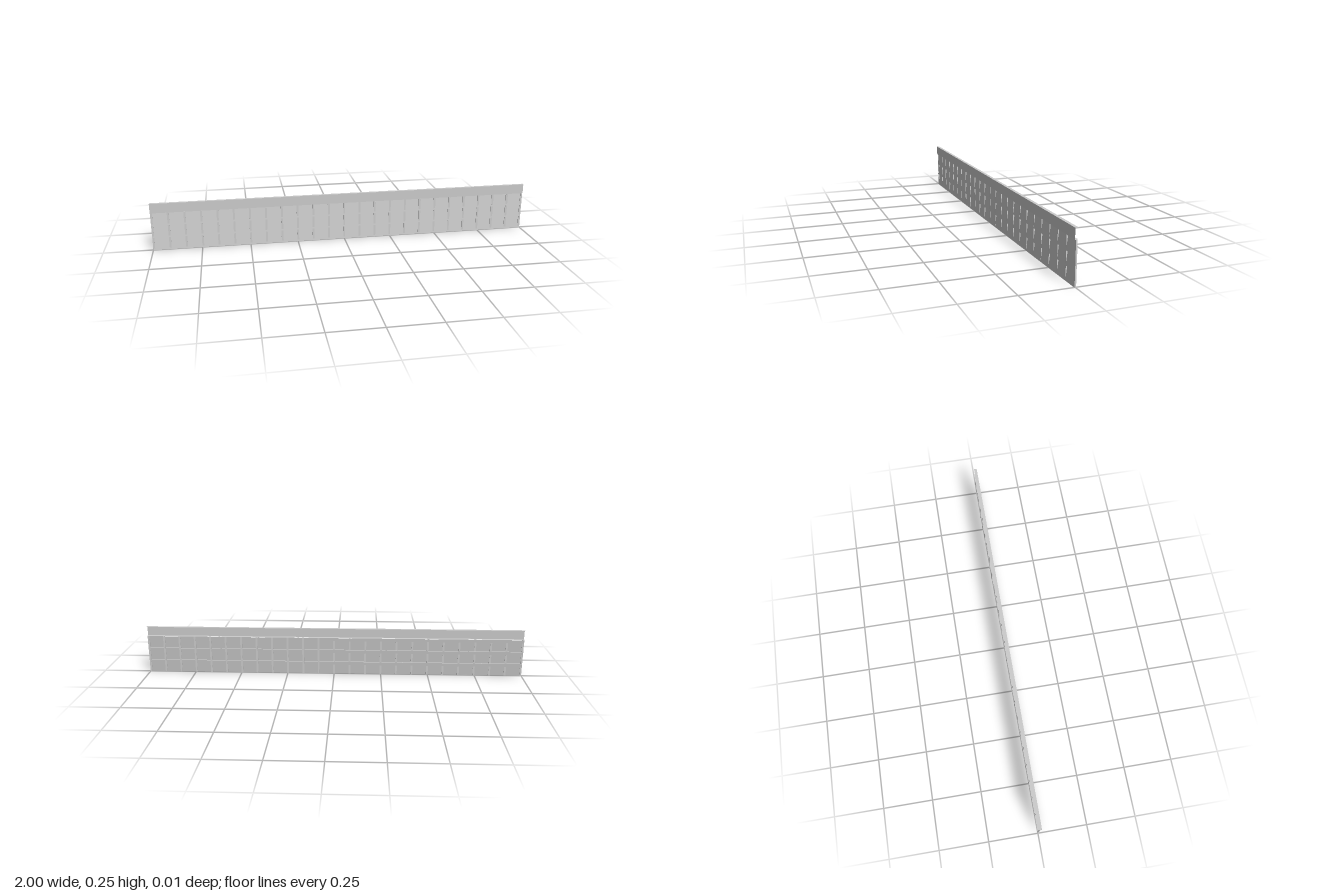
import * as THREE from 'three';

const material = new THREE.MeshStandardMaterial({ color: 0xcccccc, side: THREE.DoubleSide, flatShading: true });

// Thin sheet: a [z, y] profile swept along the whole length
function sheet(name, profile, halfLength = 1) {
  const positions = [];
  for (let i = 0; i < profile.length - 1; i++) {
    const [z0, y0] = profile[i];
    const [z1, y1] = profile[i + 1];
    const a = [-halfLength, y0, z0], b = [halfLength, y0, z0];
    const c = [halfLength, y1, z1], d = [-halfLength, y1, z1];
    positions.push(...a, ...b, ...c, ...a, ...c, ...d);
  }
  const geometry = new THREE.BufferGeometry();
  geometry.setAttribute('position', new THREE.Float32BufferAttribute(positions, 3));
  geometry.computeVertexNormals();
  const mesh = new THREE.Mesh(geometry, material);
  mesh.name = name;
  return mesh;
}

export function createModel() {
  const group = new THREE.Group();
  group.name = 'longBarrier';

  const wallHeight = 0.2, topHeight = 0.252;
  const boardCount = 3, pitch = wallHeight / boardCount, lean = 0.004;

  // Overlapping boards: each leans outward at the bottom and steps back to the next
  const boards = [];
  for (let i = 0; i < boardCount; i++) {
    boards.push([lean, i * pitch], [-lean, (i + 1) * pitch]);
  }
  group.add(sheet('slantedBoards', boards));

  // Top rail: channel open to the back
  const depth = 0.0075;
  group.add(sheet('topRail', [
    [-depth, wallHeight + 0.002], [depth, wallHeight + 0.002],
    [depth, topHeight], [-depth, topHeight],
  ]));

  // Evenly spaced posts running through the boards
  const posts = new THREE.Group();
  posts.name = 'posts';
  const bays = 24, postWidth = 0.01, front = 0.003;
  for (let i = 0; i <= bays; i++) {
    const x = -1 + postWidth / 2 + (i / bays) * (2 - postWidth);
    const back = x > 0.04 ? -0.0042 : -0.002;
    const post = new THREE.Mesh(new THREE.BoxGeometry(postWidth, wallHeight, front - back), material);
    post.position.set(x, wallHeight / 2, (front + back) / 2);
    post.name = 'post';
    posts.add(post);
  }
  group.add(posts);

  return group;
}
